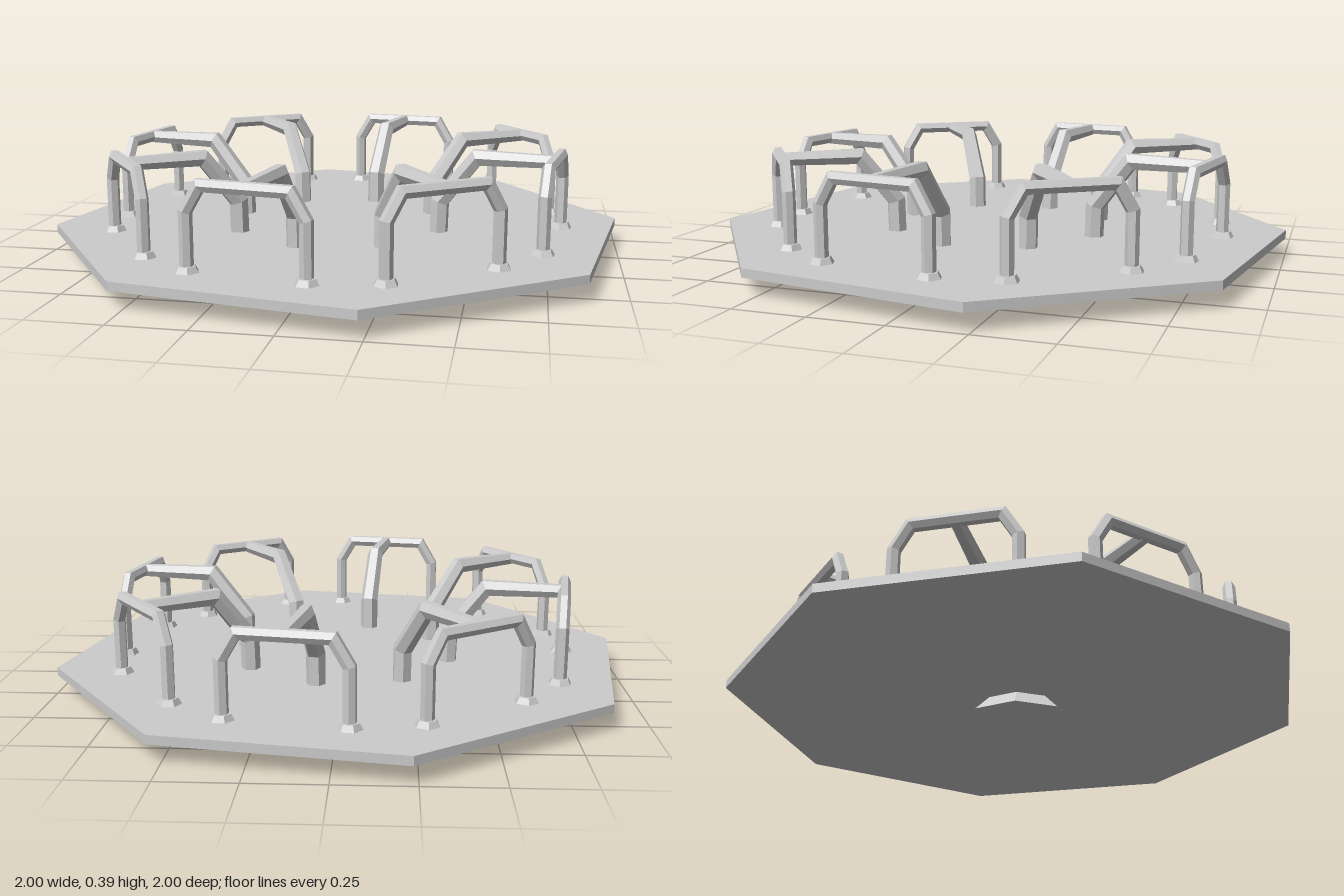
import * as THREE from 'three';

const material = new THREE.MeshStandardMaterial({ color: 0xcccccc, flatShading: true, side: THREE.DoubleSide });
const V = (x, y, z) => new THREE.Vector3(x, y, z);

// Six-sided tube with mitred bends along a planar path; `side` is the plane's normal
function hexTube(name, path, side, radii) {
  const n = 6, pos = [], idx = [];
  path.forEach((p, i) => {
    const a = path[Math.max(i - 1, 0)], b = path[Math.min(i + 1, path.length - 1)];
    const tIn = (i ? p.clone().sub(a) : b.clone().sub(p)).normalize();
    const tOut = (i < path.length - 1 ? b.clone().sub(p) : p.clone().sub(a)).normalize();
    const t = tIn.clone().add(tOut).normalize();
    const across = t.clone().cross(side).divideScalar(t.dot(tIn));
    for (let j = 0; j < n; j++) {
      const ang = (j / n) * Math.PI * 2;
      const v = p.clone()
        .addScaledVector(side, radii[i] * Math.cos(ang))
        .addScaledVector(across, radii[i] * Math.sin(ang));
      pos.push(v.x, v.y, v.z);
      if (i < path.length - 1) {
        const q = i * n + j, r = i * n + (j + 1) % n;
        idx.push(q, r, q + n, r, r + n, q + n);
      }
    }
  });
  const indexed = new THREE.BufferGeometry();
  indexed.setAttribute('position', new THREE.Float32BufferAttribute(pos, 3));
  indexed.setIndex(idx);
  const geo = indexed.toNonIndexed();
  geo.computeVertexNormals();
  const mesh = new THREE.Mesh(geo, material);
  mesh.name = name;
  return mesh;
}

function frustum(name, rTop, rBottom, y0, y1, sides) {
  const mesh = new THREE.Mesh(new THREE.CylinderGeometry(rTop, rBottom, y1 - y0, sides), material);
  mesh.name = name;
  mesh.position.y = (y0 + y1) / 2;
  return mesh;
}

// One handrail: local +x points outward, z runs along the rail
function createHandrail() {
  const rail = new THREE.Group();
  const R = 0.778, half = 0.197, floor = 0.08, top = 0.364, shift = 0.019;

  // Hoop with chamfered corners
  const hoop = [[-half, floor], [-half, 0.28], [-half + 0.05, top], [half - 0.05, top], [half, 0.28], [half, floor]];
  rail.add(hexTube('railHoop', hoop.map(([z, y]) => V(R, y, z + shift)), V(1, 0, 0), Array(6).fill(0.022)));

  // Bent brace reaching in towards the centre
  const brace = [[R, 0.362], [0.51, 0.362], [0.383, 0.2], [0.38, floor]];
  rail.add(hexTube('railBrace', brace.map(([x, y]) => V(x, y, shift)), V(0, 0, 1), [0.024, 0.03, 0.033, 0.033]));

  // Hexagonal flanges under the hoop legs
  for (const s of [-1, 1]) {
    const foot = frustum('footFlange', 0.03, 0.044, 0.085, 0.11, 6);
    foot.position.x = R;
    foot.position.z = s * half + shift;
    rail.add(foot);
  }
  return rail;
}

export function createModel() {
  const model = new THREE.Group();
  model.name = 'merryGoRound';

  // Octagonal deck on a flared pedestal
  const deck = frustum('deck', 1.027, 1.027, 0.06, 0.09, 8);
  deck.rotation.y = THREE.MathUtils.degToRad(13.2);
  model.add(deck, frustum('pedestal', 0.137, 0.2, 0, 0.062, 8));

  // One handrail per deck edge
  for (let i = 0; i < 8; i++) {
    const rail = createHandrail();
    rail.name = 'handrail';
    rail.rotation.y = -THREE.MathUtils.degToRad(9.3 + i * 45);
    model.add(rail);
  }
  return model;
}
